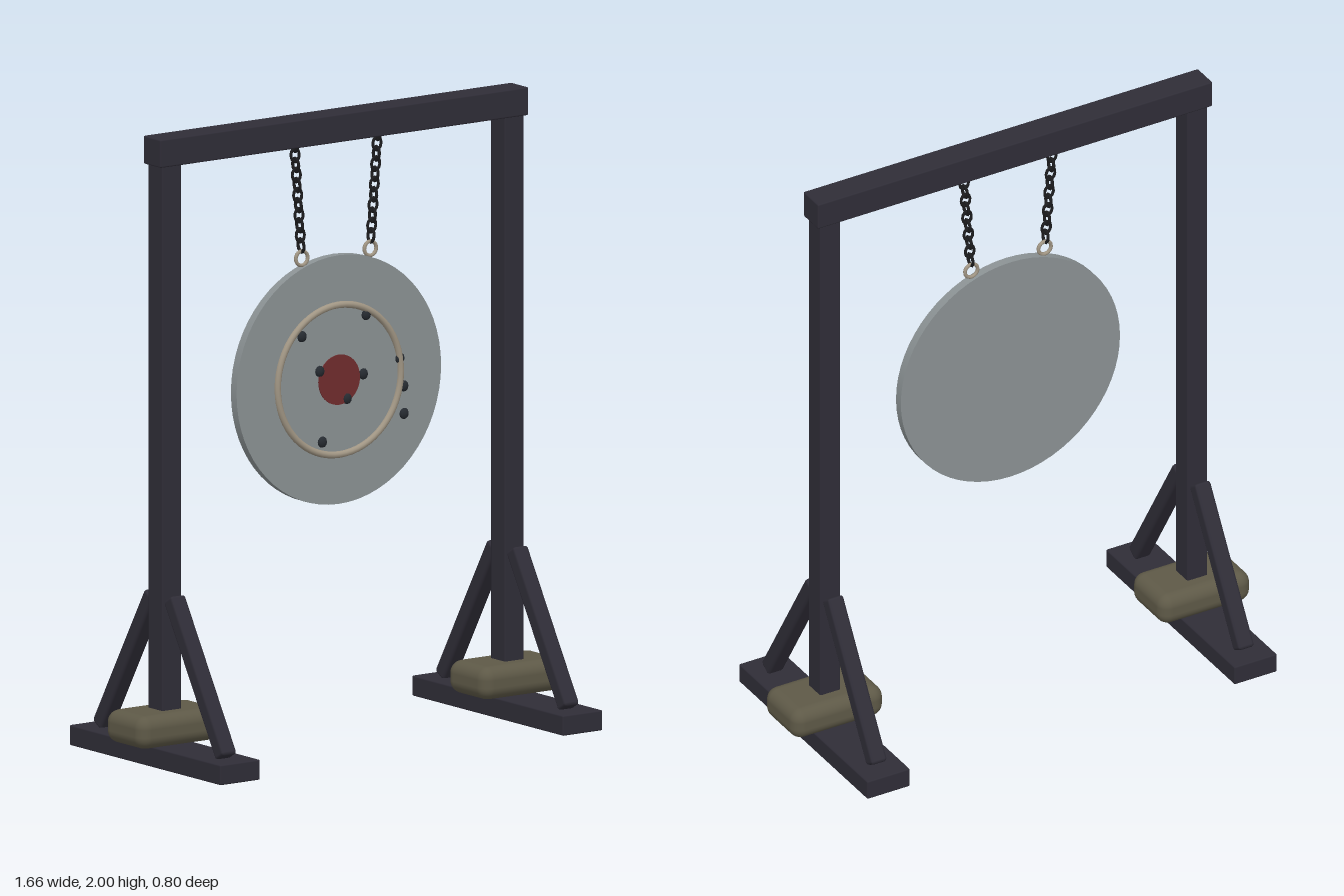
import * as THREE from 'three';
import { RoundedBoxGeometry } from 'three/addons/geometries/RoundedBoxGeometry.js';

const material = (name, color) => {
  const m = new THREE.MeshStandardMaterial({ color });
  m.name = name;
  return m;
};

export function createModel() {
  const group = new THREE.Group();
  const frame = material('dark painted timber', 0x2f2d37);
  const sand = material('olive canvas', 0x5e5947);
  const steel = material('plate steel', 0x8b9294);
  const brass = material('pale ring metal', 0xa19684);
  const red = material('red paint', 0x702c2e);
  const chainIron = material('chain iron', 0x1c1c1e);
  const dent = material('dark impact', 0x262b31);

  const add = (name, geometry, mat, x = 0, y = 0, z = 0, parent = group) => {
    const mesh = new THREE.Mesh(geometry, mat);
    mesh.name = name;
    mesh.position.set(x, y, z);
    parent.add(mesh);
    return mesh;
  };
  const box = (w, h, d, r = 0.005, seg = 1) => new RoundedBoxGeometry(w, h, d, seg, r);

  // Frame: top beam and, on each side, foot, post, sandbag and two braces
  add('topBeam', box(1.43, 0.09, 0.092), frame, 0, 1.955, 0);
  for (const side of [-1, 1]) {
    const x = side * 0.665;
    add('foot', box(0.155, 0.065, 0.8), frame, x, 0.0325, 0);
    add('post', box(0.074, 1.87, 0.076), frame, x, 0.99, 0);
    add('sandbag', box(0.33, 0.105, 0.206, 0.04, 4), sand, x, 0.122, 0);
    for (const s of [-1, 1]) {
      const brace = add('brace', box(0.057, 0.54, 0.05, 0.01), frame, x, 0.302, s * 0.188);
      brace.rotation.x = -s * Math.atan2(0.275, 0.46);
    }
  }

  // Hanging round plate with raised ring, red centre and impact marks
  const target = new THREE.Group();
  target.name = 'target';
  target.position.set(0, 1.146, 0);
  group.add(target);
  add('plate', new THREE.CylinderGeometry(0.397, 0.397, 0.03, 64).rotateX(Math.PI / 2), steel, 0, 0, 0, target);
  add('raisedRing', new THREE.TorusGeometry(0.239, 0.011, 10, 64), brass, 0, 0, 0.016, target);
  add('redCentre', new THREE.CylinderGeometry(0.08, 0.08, 0.004, 40).rotateX(Math.PI / 2), red, 0, 0, 0.016, target);

  const marks = [
    [-0.143, 0.154], [0.106, 0.195], [-0.074, 0.035], [0.095, 0.007], [0.032, -0.064],
    [0.237, 0.04], [0.252, -0.05], [0.253, -0.138], [-0.064, -0.192],
  ];
  const markGeometry = new THREE.SphereGeometry(0.018, 8, 6).scale(1, 1, 0.6);
  for (const [x, y] of marks) add('impactMark', markGeometry, dent, x, y, 0.015, target);

  // Eyelets and chains, with alternate links turned a quarter
  const linkGeometry = new THREE.TorusGeometry(0.016, 0.005, 6, 12).scale(1, 1.3, 1);
  const links = 11;
  for (const side of [-1, 1]) {
    add('eyelet', new THREE.TorusGeometry(0.023, 0.006, 8, 20), brass, side * 0.133, 1.547, 0);
    const chain = new THREE.Group();
    chain.name = 'chain';
    chain.position.set(side * 0.136, 1.588, 0);
    chain.rotation.z = -side * Math.atan2(0.026, 0.33);
    group.add(chain);
    for (let i = 0; i < links; i++) {
      const link = add('chainLink', linkGeometry, chainIron, 0, i * 0.0325, 0, chain);
      link.rotation.y = i % 2 ? 0 : Math.PI / 2;
    }
  }
  return group;
}
